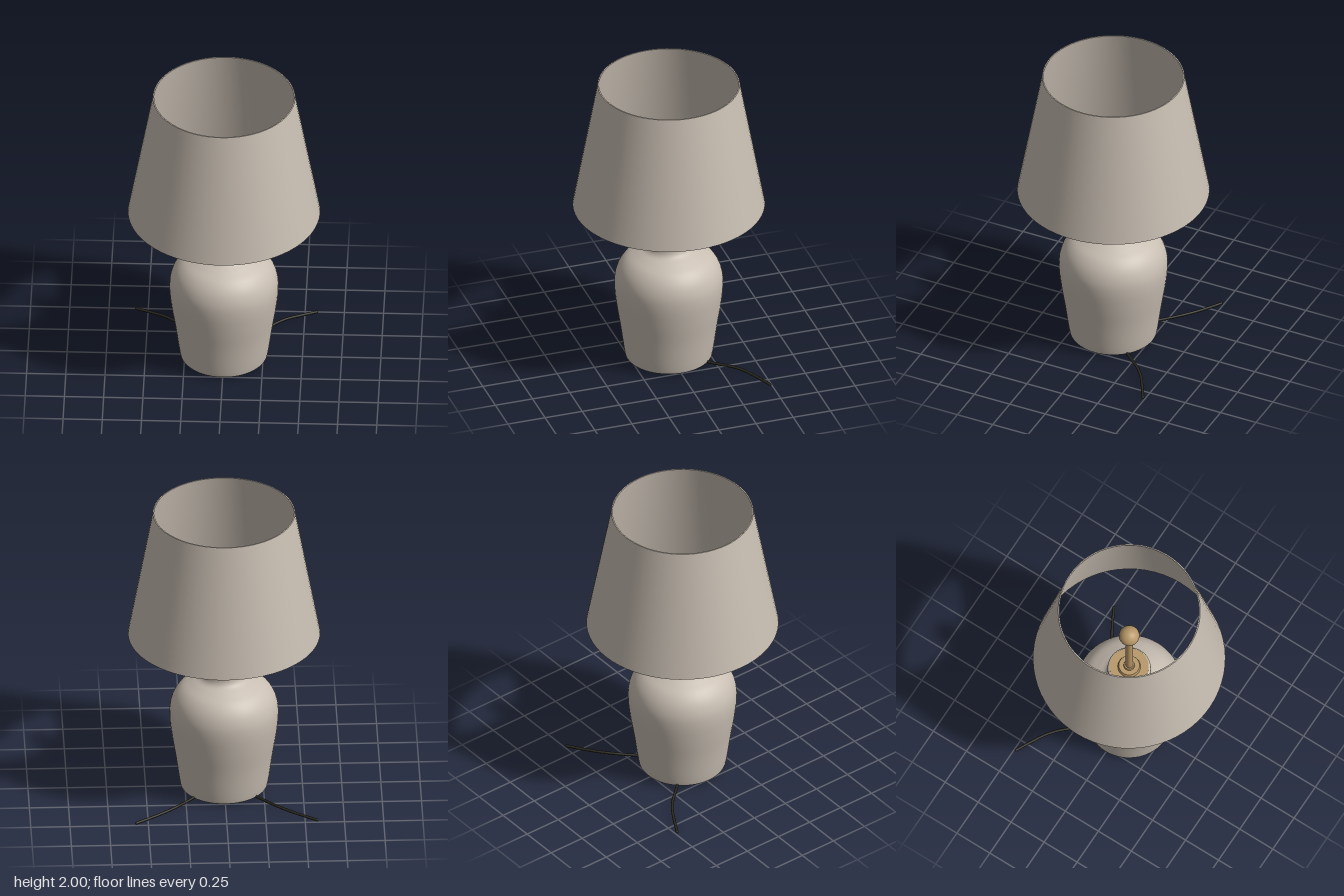
import * as THREE from 'three';

const material = (name, color, side = THREE.FrontSide) => {
  const m = new THREE.MeshStandardMaterial({ color, side });
  m.name = name;
  return m;
};

export function createModel() {
  const lamp = new THREE.Group();
  lamp.name = 'tableLamp';
  const linen = material('warmLinen', 0xc8beb2, THREE.DoubleSide);
  const ceramic = material('warmCeramic', 0xc8beb2);
  const brass = material('brass', 0xb89868);
  const rubber = material('blackCord', 0x2a2920);

  const add = (name, geometry, mat, y = 0) => {
    const mesh = new THREE.Mesh(geometry, mat);
    mesh.name = name;
    mesh.position.y = y;
    lamp.add(mesh);
    return mesh;
  };
  const lathe = (points) =>
    new THREE.LatheGeometry(points.map(([r, y]) => new THREE.Vector2(r, y)), 64);

  // Flat underside and smoothly curved vase body with a straight neck
  const foot = add('baseUnderside', new THREE.CircleGeometry(0.262, 64), ceramic, 0.013);
  foot.rotation.x = Math.PI / 2;
  const curve = new THREE.CatmullRomCurve3([
    [0.262, 0.013], [0.275, 0.02], [0.282, 0.045], [0.31, 0.24], [0.335, 0.4],
    [0.347, 0.53], [0.341, 0.61], [0.315, 0.68], [0.27, 0.735], [0.205, 0.775],
    [0.155, 0.803], [0.139, 0.83], [0.137, 0.88], [0.138, 0.935], [0.134, 0.953],
    [0.124, 0.96],
  ].map(([r, y]) => new THREE.Vector3(r, y, 0)), false, 'centripetal');
  add('ceramicBase', lathe(curve.getPoints(70).map((p) => [p.x, p.y])), ceramic);

  // Brass cap, collar, stem and the ball at its top
  add('neckCap', new THREE.CylinderGeometry(0.125, 0.125, 0.018, 48), brass, 0.957);
  add('collar', new THREE.CylinderGeometry(0.066, 0.073, 0.022, 40), brass, 0.977);
  add('stemSocket', new THREE.CylinderGeometry(0.033, 0.036, 0.02, 32), brass, 0.996);
  add('stem', new THREE.CylinderGeometry(0.024, 0.024, 0.54, 24), brass, 1.23);
  add('stemBall', new THREE.SphereGeometry(0.066, 32, 20), brass, 1.54);

  // Tapered shade: thin wall with creased rims, open at both ends
  const wall = [[0.613, 1.12], [0.453, 2], [0.445, 2], [0.605, 1.12], [0.613, 1.12]];
  const shade = new THREE.Group();
  shade.name = 'shade';
  for (let i = 0; i < 4; i++) {
    const mesh = new THREE.Mesh(lathe([wall[i], wall[i + 1]]), linen);
    mesh.name = ['shadeOuter', 'shadeTopRim', 'shadeInner', 'shadeBottomRim'][i];
    shade.add(mesh);
  }
  lamp.add(shade);

  // Two mirrored cords trailing from the back of the base
  for (const s of [1, -1]) {
    const points = [
      [0.19, 0.024, -0.185], [0.25, 0.025, -0.25], [0.32, 0.029, -0.325],
      [0.39, 0.027, -0.382], [0.47, 0.02, -0.43], [0.575, 0.011, -0.487],
    ].map(([x, y, z]) => new THREE.Vector3(s * x, y, z));
    const name = s > 0 ? 'leftCord' : 'rightCord';
    add(name, new THREE.TubeGeometry(new THREE.CatmullRomCurve3(points), 32, 0.009, 10), rubber);
    const end = add(name + 'End', new THREE.SphereGeometry(0.009, 10, 8), rubber);
    end.position.copy(points[points.length - 1]);
  }
  return lamp;
}
